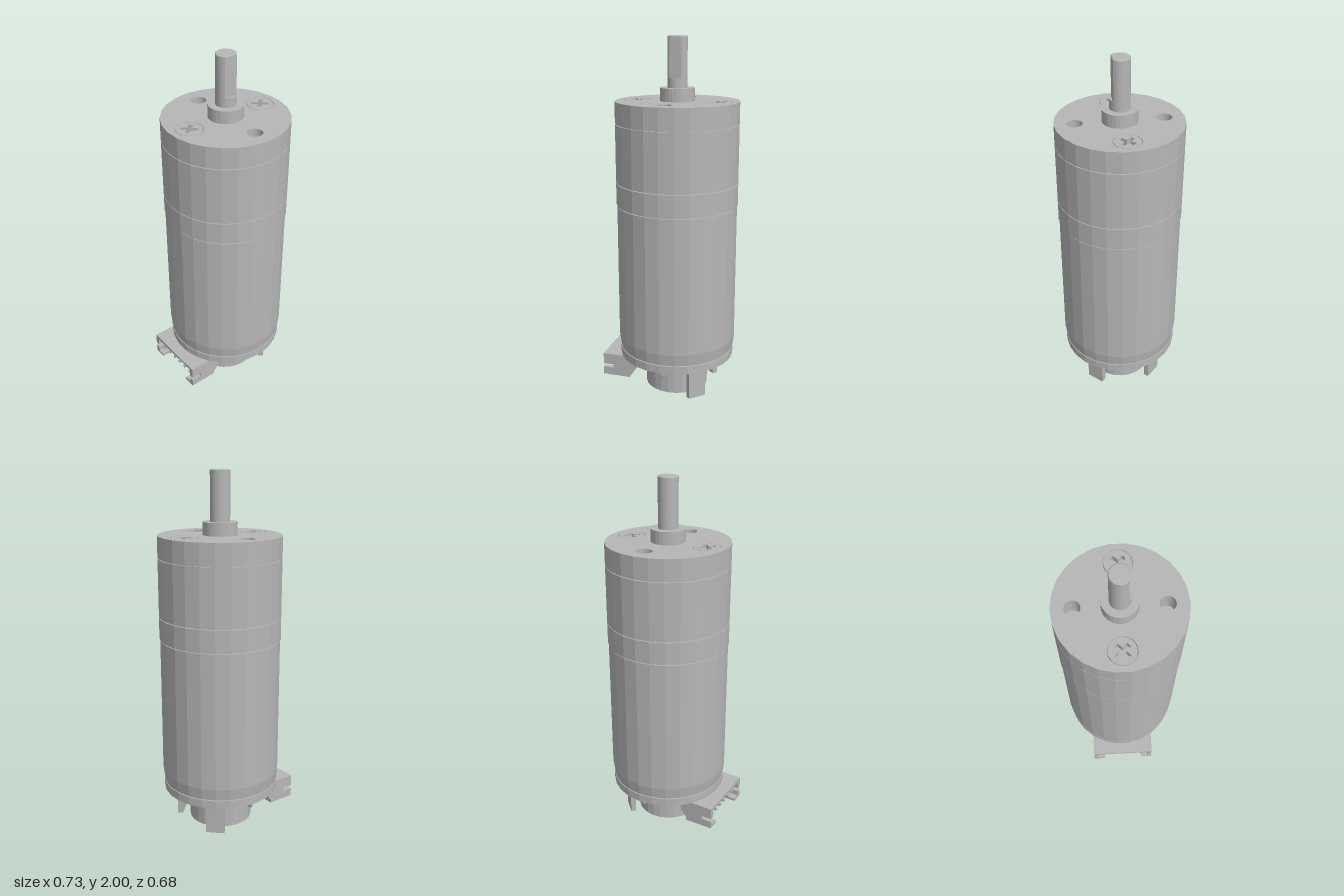
import * as THREE from 'three';

const metal = new THREE.MeshStandardMaterial({ color: 0xb6b6b6, flatShading: true });
metal.name = 'grey metal';
const SIDES = 26;

function add(parent, name, geometry, x = 0, y = 0, z = 0) {
  const mesh = new THREE.Mesh(geometry, metal);
  mesh.name = name;
  mesh.position.set(x, y, z);
  parent.add(mesh);
  return mesh;
}

// upright drum between two heights
function drum(parent, name, y0, y1, rTop, rBottom = rTop, x = 0, z = 0, sides = SIDES) {
  return add(parent, name, new THREE.CylinderGeometry(rTop, rBottom, y1 - y0, sides), x, (y0 + y1) / 2, z);
}

// box given by its limits
function box(parent, name, x0, x1, y0, y1, z0, z1) {
  return add(parent, name, new THREE.BoxGeometry(x1 - x0, y1 - y0, z1 - z0),
    (x0 + x1) / 2, (y0 + y1) / 2, (z0 + z1) / 2);
}

function ring(r, n, cx = 0, cy = 0, maxDown = Infinity) {
  const pts = [];
  for (let i = 0; i < n; i++) {
    const a = Math.PI / 2 + (i / n) * Math.PI * 2;
    pts.push(new THREE.Vector2(cx + r * Math.cos(a), cy + Math.max(r * Math.sin(a), -maxDown)));
  }
  return pts;
}

// plan outline raised upwards
function raise(shape, depth) {
  return new THREE.ExtrudeGeometry(shape, { depth, bevelEnabled: false }).rotateX(-Math.PI / 2);
}

function crossPath(arm, half) {
  const pts = [];
  for (let k = 0; k < 4; k++) {
    const a = Math.PI / 4 + k * Math.PI / 2;
    for (const [u, v] of [[arm, -half], [arm, half], [half, half]]) {
      pts.push(new THREE.Vector2(u * Math.cos(a) - v * Math.sin(a), u * Math.sin(a) + v * Math.cos(a)));
    }
  }
  return pts;
}

function buildScrew(parent, x) {
  const screw = new THREE.Group();
  screw.name = 'screw';
  screw.position.x = x;
  const head = new THREE.Shape(ring(0.071, 24));
  head.holes.push(new THREE.Path(crossPath(0.045, 0.012)));
  add(screw, 'screwHead', raise(head, 0.04), 0, 1.62, 0);
  drum(screw, 'screwSeat', 1.56, 1.621, 0.071, 0.04, 0, 0, 24);
  parent.add(screw);
}

function buildConnector() {
  const g = new THREE.Group();
  g.name = 'connector';
  const slab = (name, pts, z0, z1) => add(g, name, new THREE.ExtrudeGeometry(
    new THREE.Shape(pts.map(p => new THREE.Vector2(...p))), { depth: z1 - z0, bevelEnabled: false }), 0, 0, z0);
  // notched end walls
  const side = [[-0.365, 0.205], [-0.365, 0.14], [-0.305, 0.14], [-0.305, 0.12], [-0.365, 0.12],
    [-0.365, 0.075], [-0.205, 0.075], [-0.205, 0.09], [-0.165, 0.142], [-0.165, 0.205]];
  slab('endWall', side, -0.19, -0.165);
  slab('endWall', side, 0.16, 0.185);
  box(g, 'topWall', -0.365, -0.165, 0.188, 0.205, -0.166, 0.161);
  box(g, 'backPanel', -0.225, -0.2, 0.085, 0.19, -0.166, 0.161);
  // lower wall with slots, ribs and pins
  for (const s of [-1, 1]) {
    box(g, 'lowerLip', -0.365, -0.205, 0.075, 0.09, s * 0.142 - 0.0025 - 0.022, s * 0.142 - 0.0025 + 0.022);
  }
  box(g, 'lowerWall', -0.3, -0.205, 0.075, 0.09, -0.13, 0.13);
  const rib = [[-0.205, 0.09], [-0.165, 0.142], [-0.165, 0.19], [-0.205, 0.19]];
  for (let i = 0; i < 7; i++) {
    const z = -0.1525 + i * 0.05;
    slab('rearRib', rib, z - 0.013, z + 0.013);
    if (i < 6) {
      box(g, 'pin', -0.345, -0.19, 0.125, 0.14, z + 0.0175, z + 0.0325);
      box(g, 'pinLeg', -0.2, -0.185, 0.125, 0.19, z + 0.0175, z + 0.0325);
    }
  }
  return g;
}

export function createModel() {
  const model = new THREE.Group();
  model.name = 'gearMotor';
  const motor = new THREE.Group();
  motor.name = 'motor';
  motor.position.x = 0.026;
  model.add(motor);

  // front plate with mounting holes and screw seats
  const face = new THREE.Shape(ring(0.338, SIDES));
  for (const s of [-1, 1]) {
    face.holes.push(new THREE.Path(ring(0.041, 20, 0, s * 0.231)));
    face.holes.push(new THREE.Path(ring(0.074, 24, s * 0.231, 0)));
    buildScrew(motor, s * 0.231);
  }
  add(motor, 'frontPlate', raise(face, 0.118), 0, 1.542, 0);

  // stacked housing with narrow seams around an inner core
  drum(motor, 'innerCore', 0.26, 1.545, 0.328, 0.318);
  drum(motor, 'gearbox', 1.22, 1.538, 0.338);
  drum(motor, 'gearboxRing', 1.093, 1.216, 0.338);
  drum(motor, 'motorCan', 0.32, 1.087, 0.334);
  drum(motor, 'canTaper', 0.254, 0.32, 0.334, 0.325);
  drum(motor, 'rearCap', 0.205, 0.25, 0.327);
  drum(motor, 'capSeam', 0.249, 0.262, 0.317);

  // output shaft with a flat facing forward
  drum(motor, 'shaftBoss', 1.655, 1.73, 0.094);
  drum(motor, 'shaftBase', 1.72, 1.783, 0.054, 0.054, 0, 0, 24);
  const dShape = new THREE.Shape(ring(0.05, 32, 0, 0, 0.037));
  add(motor, 'outputShaft', new THREE.ExtrudeGeometry(dShape, {
    depth: 0.236, bevelEnabled: true, bevelSegments: 1, bevelSize: 0.004, bevelThickness: 0.004,
  }).rotateX(-Math.PI / 2), 0, 1.76, 0);

  // encoder disc on the rear shaft
  const disc = new THREE.Shape(ring(0.179, SIDES));
  disc.holes.push(new THREE.Path(ring(0.029, 16)));
  add(motor, 'encoderDisc', raise(disc, 0.122), 0, 0.012, 0);
  drum(motor, 'rearShaft', 0, 0.21, 0.024, 0.024, 0, 0, 16);
  drum(motor, 'rearBearing', 0.165, 0.21, 0.042, 0.042, 0, 0, 16);

  for (const s of [-1, 1]) {
    // sensor plates standing diagonally beside the disc
    const sensor = add(motor, 'sensor', new THREE.BoxGeometry(0.104, 0.195, 0.03), 0.163, 0.1095, s * 0.168);
    sensor.rotation.y = s * Math.PI / 4;
    // looped solder terminals
    const tab = new THREE.Shape([[-0.021, 0], [-0.021, -0.038], [-0.014, -0.046], [0.014, -0.046],
      [0.021, -0.038], [0.021, 0]].map(p => new THREE.Vector2(...p)));
    tab.holes.push(new THREE.Path([[-0.011, -0.008], [0.011, -0.008], [0.011, -0.034], [-0.011, -0.034]]
      .map(p => new THREE.Vector2(...p))));
    const geo = new THREE.ExtrudeGeometry(tab, { depth: 0.014, bevelEnabled: false });
    geo.translate(0, 0, -0.007).rotateY(Math.PI / 2);
    add(motor, 'terminal', geo, 0, 0.207, s * 0.271);
  }

  model.add(buildConnector());
  return model;
}
